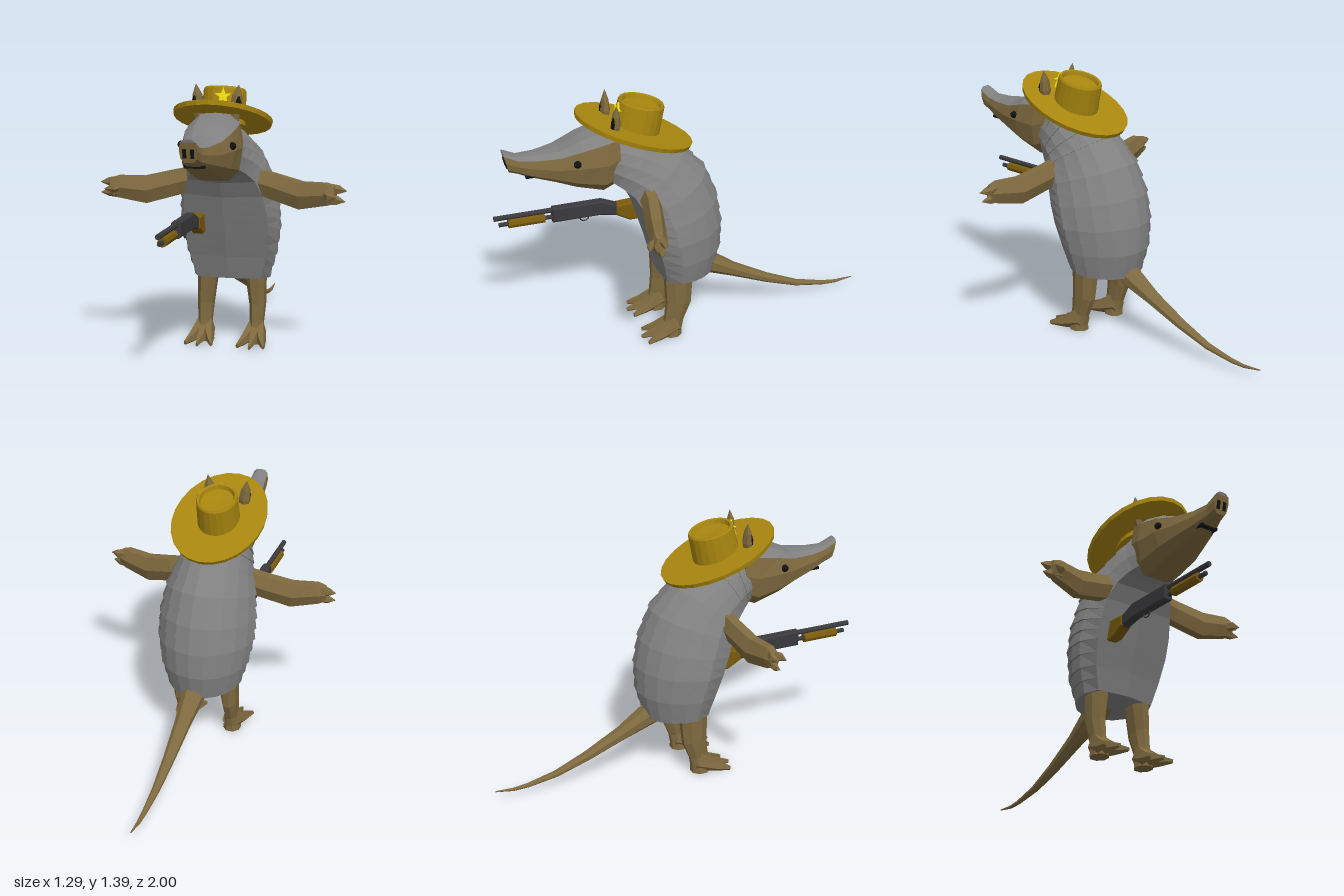
import * as THREE from 'three';

const mat = (color) => new THREE.MeshStandardMaterial({ color, flatShading: true });
const M = {
  shell: mat(0x808080), skin: mat(0x7f6a3f), hat: mat(0xa8860f), star: mat(0xf2e010),
  black: mat(0x111111), steel: mat(0x3a3a3c), wood: mat(0x7a5a0c),
};

function add(parent, name, geometry, material, x = 0, y = 0, z = 0) {
  const m = new THREE.Mesh(geometry, material);
  m.name = name;
  m.position.set(x, y, z);
  parent.add(m);
  return m;
}

// Closed skin over a list of rings, turned so that it faces outwards
function loft(rings) {
  const n = rings[0].length, tris = [];
  for (let r = 0; r < rings.length - 1; r++) {
    for (let i = 0; i < n; i++) {
      const j = (i + 1) % n;
      const [a, b, c, d] = [rings[r][i], rings[r][j], rings[r + 1][j], rings[r + 1][i]];
      tris.push([a, b, c], [a, c, d]);
    }
  }
  const centre = (ring) => ring.reduce((s, p) => s.add(p), new THREE.Vector3()).divideScalar(n);
  const first = rings[0], last = rings[rings.length - 1];
  const c0 = centre(first), c1 = centre(last);
  for (let i = 0; i < n; i++) {
    const j = (i + 1) % n;
    tris.push([c0, first[j], first[i]], [c1, last[i], last[j]]);
  }
  const cross = new THREE.Vector3();
  const volume = tris.reduce((s, [a, b, c]) => s + a.dot(cross.crossVectors(b, c)), 0);
  if (volume < 0) tris.forEach((t) => t.reverse());
  const g = new THREE.BufferGeometry().setFromPoints(tris.flat());
  g.computeVertexNormals();
  return g;
}

// Faceted limb along stations [x, y, z, radius across, radius along ref]
function limb(stations, ref, sides = 6) {
  const P = stations.map((s) => new THREE.Vector3(s[0], s[1], s[2]));
  return loft(P.map((p, k) => {
    const t = P[Math.min(k + 1, P.length - 1)].clone().sub(P[Math.max(k - 1, 0)]).normalize();
    const u = new THREE.Vector3().crossVectors(t, ref).normalize();
    const v = new THREE.Vector3().crossVectors(u, t);
    return Array.from({ length: sides }, (_, i) => {
      const a = ((i + 0.5) / sides) * Math.PI * 2;
      const q = p.clone().addScaledVector(u, Math.cos(a) * stations[k][3])
        .addScaledVector(v, Math.sin(a) * stations[k][4]);
      q.y = Math.max(0, q.y);
      return q;
    });
  }));
}
const X = new THREE.Vector3(1, 0, 0), Z = new THREE.Vector3(0, 0, 1);

// Side profile in (z, y) given a thickness along x
function slab(points, width, bevel = 0.008) {
  const shape = new THREE.Shape(points.map(([z, y]) => new THREE.Vector2(z, y)));
  const g = new THREE.ExtrudeGeometry(shape, {
    depth: width - 2 * bevel, bevelSize: bevel, bevelThickness: bevel, bevelOffset: -bevel, bevelSegments: 1,
  });
  return g.translate(0, 0, -width / 2 + bevel).rotateY(-Math.PI / 2);
}

// Banded shell: each key is front z, y, back z, y, half width
function shellGeometry() {
  const keys = [
    [0.42, 0.95, 0.42, 1.23, 0.13], [0.38, 0.92, 0.22, 1.17, 0.17], [0.34, 0.88, 0.02, 1.075, 0.205],
    [0.30, 0.80, -0.10, 0.94, 0.24], [0.27, 0.70, -0.165, 0.78, 0.258], [0.24, 0.60, -0.19, 0.63, 0.258],
    [0.20, 0.47, -0.185, 0.48, 0.235], [0.17, 0.35, -0.145, 0.335, 0.198],
  ];
  const section = [];
  for (let i = 0; i <= 10; i++) {
    const a = (i / 10) * Math.PI;
    section.push([Math.cos(a), -0.4 + 1.4 * Math.sin(a)]);
  }
  section.push([-0.86, -0.88], [0, -1], [0.86, -0.88]);
  const ring = (t, flare) => {
    const f = t * (keys.length - 1), k = Math.min(Math.floor(f), keys.length - 2);
    const [fz, fy, bz, by, w] = keys[k].map((v, i) => THREE.MathUtils.lerp(v, keys[k + 1][i], f - k));
    return new THREE.Vector3() && section.map(([x, v]) => {
      const s = v > -0.5 ? flare : 1;
      const m = 0.5 + 0.5 * (v > 0 ? v * s : v);
      return new THREE.Vector3(x * w * s, fy + (by - fy) * m, fz + (bz - fz) * m);
    });
  };
  const bands = 14, rings = [];
  for (let i = 0; i < bands; i++) rings.push(ring(i / bands, 0.99), ring((i + 1) / bands, 1.035));
  return loft(rings);
}

function buildHead(g) {
  // stations: z at top, z at bottom, top, plate edge, bottom, half width
  const S = [
    [0.38, 0.38, 1.25, 1.205, 0.945, 0.13], [0.45, 0.46, 1.25, 1.195, 0.912, 0.145],
    [0.57, 0.60, 1.215, 1.17, 0.953, 0.138], [0.675, 0.70, 1.163, 1.14, 0.99, 0.11],
    [0.80, 0.84, 1.15, 1.128, 1.034, 0.07], [0.89, 0.89, 1.15, 1.135, 1.055, 0.05],
    [0.962, 0.935, 1.184, 1.168, 1.07, 0.045],
  ];
  const rings = (outline) => S.map(([zt, zb, t, d, b, w]) => outline(t, d, b, w).map(([x, y]) =>
    new THREE.Vector3(x, y, zb + (zt - zb) * (y - b) / (t - b))));
  add(g, 'head', loft(rings((t, d, b, w) => {
    const m = b + (d - b) * 0.6, l = b + (d - b) * 0.2;
    return [[w * 0.86, d], [w, m], [w * 0.88, l], [w * 0.5, b], [-w * 0.5, b], [-w * 0.88, l], [-w, m], [-w * 0.86, d]];
  })), M.skin);
  add(g, 'headPlate', loft(rings((t, d, b, w) => [[w * 0.87, d], [w * 0.5, t - (t - d) * 0.15], [0, t],
    [-w * 0.5, t - (t - d) * 0.15], [-w * 0.87, d]])), M.shell);
  add(g, 'mouth', new THREE.BoxGeometry(0.1, 0.014, 0.06), M.black, 0, 1.038, 0.825);
  for (const s of [1, -1]) {
    add(g, 'eye', new THREE.IcosahedronGeometry(0.02, 1), M.black, s * 0.128, 1.11, 0.605);
    const nostril = add(g, 'nostril', new THREE.BoxGeometry(0.017, 0.045, 0.012), M.black, s * 0.019, 1.115, 0.945);
    nostril.rotation.x = 0.23;
    // Ear with a dark hollow
    add(g, 'ear', limb([[s * 0.09, 1.2, 0.40, 0.02, 0.015], [s * 0.097, 1.28, 0.395, 0.034, 0.026],
      [s * 0.103, 1.335, 0.395, 0.027, 0.02], [s * 0.11, 1.387, 0.392, 0.002, 0.002]], Z), M.skin);
    add(g, 'earHollow', limb([[s * 0.106, 1.26, 0.412, 0.012, 0.012], [s * 0.109, 1.30, 0.409, 0.02, 0.014],
      [s * 0.111, 1.355, 0.402, 0.002, 0.002]], Z), M.black);
  }
}

function buildHat(g) {
  const brim = add(g, 'hatBrim', new THREE.CylinderGeometry(1, 0.98, 0.024, 24).scale(0.25, 1, 0.325), M.hat, 0, 1.205, 0.275);
  brim.rotation.x = -0.36;
  const profile = [[1.05, -0.03], [1, 0.145], [0.95, 0.155], [0.86, 0.152], [0.8, 0.13], [0, 0.125]];
  const crown = add(g, 'hatCrown', new THREE.LatheGeometry(profile.map((p) => new THREE.Vector2(...p)), 20)
    .scale(0.108, 1, 0.122), M.hat, 0, 1.2, 0.265);
  crown.rotation.x = -0.24;
  const star = new THREE.Shape(Array.from({ length: 10 }, (_, i) => {
    const a = Math.PI / 2 + (i * Math.PI) / 5, r = i % 2 ? 0.018 : 0.045;
    return new THREE.Vector2(Math.cos(a) * r, Math.sin(a) * r);
  }));
  const badge = add(g, 'hatStar', new THREE.ExtrudeGeometry(star, { depth: 0.01, bevelEnabled: false }), M.star, 0.022, 1.325, 0.36);
  badge.rotation.set(-0.2, 0.1, 0);
}

function buildLimbs(g) {
  for (const s of [1, -1]) {
    add(g, 'arm', limb([[s * 0.17, 0.885, 0.25, 0.07, 0.05], [s * 0.25, 0.865, 0.255, 0.075, 0.05],
      [s * 0.41, 0.825, 0.285, 0.08, 0.05], [s * 0.55, 0.842, 0.315, 0.064, 0.042],
      [s * 0.59, 0.845, 0.32, 0.045, 0.03]], Z), M.skin);
    for (const [x, y, z, dy] of [[0.645, 0.86, 0.31, 0.025], [0.64, 0.808, 0.325, -0.03], [0.605, 0.835, 0.378, 0]]) {
      add(g, 'finger', limb([[s * 0.54, 0.843 + dy, 0.318, 0.032, 0.03], [s * (x - 0.04), y + 0.003, z - 0.01, 0.024, 0.018],
        [s * x, y, z, 0.002, 0.002]], Z, 5), M.skin);
    }
    add(g, 'leg', limb([[s * 0.125, 0.42, 0.08, 0.085, 0.055], [s * 0.132, 0.33, 0.08, 0.08, 0.053],
      [s * 0.14, 0.2, 0.083, 0.072, 0.043], [s * 0.14, 0.1, 0.108, 0.055, 0.037],
      [s * 0.14, 0.04, 0.12, 0.055, 0.045], [s * 0.14, 0, 0.12, 0.055, 0.05]], X, 8), M.skin);
    for (const dx of [-0.07, 0, 0.07]) {
      add(g, 'toe', limb([[s * 0.14 + dx * 0.2, 0.07, 0.1, 0.065, 0.035], [s * 0.14 + dx * 0.65, 0.03, 0.2, 0.032, 0.024],
        [s * 0.14 + dx, 0.012, dx ? 0.27 : 0.29, 0.012, 0.008]], X, 5), M.skin);
    }
  }
  add(g, 'tail', limb([[0, 0.4, -0.03, 0.07, 0.08], [0, 0.335, -0.12, 0.062, 0.066], [0, 0.25, -0.28, 0.038, 0.045],
    [0, 0.155, -0.48, 0.026, 0.032], [0, 0.085, -0.66, 0.018, 0.022], [0, 0.052, -0.82, 0.012, 0.014],
    [0, 0.046, -0.9, 0.009, 0.01], [0, 0.056, -1, 0.003, 0.003]], X, 8), M.skin);
}

function buildGun(g) {
  const gun = new THREE.Group();
  gun.name = 'gun';
  gun.position.x = -0.137;
  g.add(gun);
  const rod = (name, r, y, z0, z1, m, sides = 8) => add(gun, name,
    new THREE.CylinderGeometry(r, r, z1 - z0, sides).rotateX(Math.PI / 2), m, 0, y, (z0 + z1) / 2);
  rod('barrel', 0.014, 0.722, 0.68, 1, M.steel);
  rod('magazineTube', 0.012, 0.682, 0.68, 0.975, M.steel);
  rod('foreGrip', 0.025, 0.682, 0.73, 0.925, M.wood);
  add(gun, 'receiver', slab([[0.69, 0.738], [0.69, 0.655], [0.43, 0.655], [0.335, 0.638], [0.335, 0.702], [0.42, 0.738]], 0.05), M.steel);
  add(gun, 'stock', slab([[0.345, 0.702], [0.345, 0.642], [0.27, 0.6], [0.2, 0.6], [0.2, 0.71]], 0.062), M.wood);
  add(gun, 'triggerGuard', new THREE.TorusGeometry(0.025, 0.004, 4, 10).rotateY(Math.PI / 2), M.steel, 0, 0.652, 0.515);
}

export function createModel() {
  const g = new THREE.Group();
  g.name = 'armadillo';
  add(g, 'bandedShell', shellGeometry(), M.shell);
  buildHead(g);
  buildHat(g);
  buildLimbs(g);
  buildGun(g);
  return g;
}
